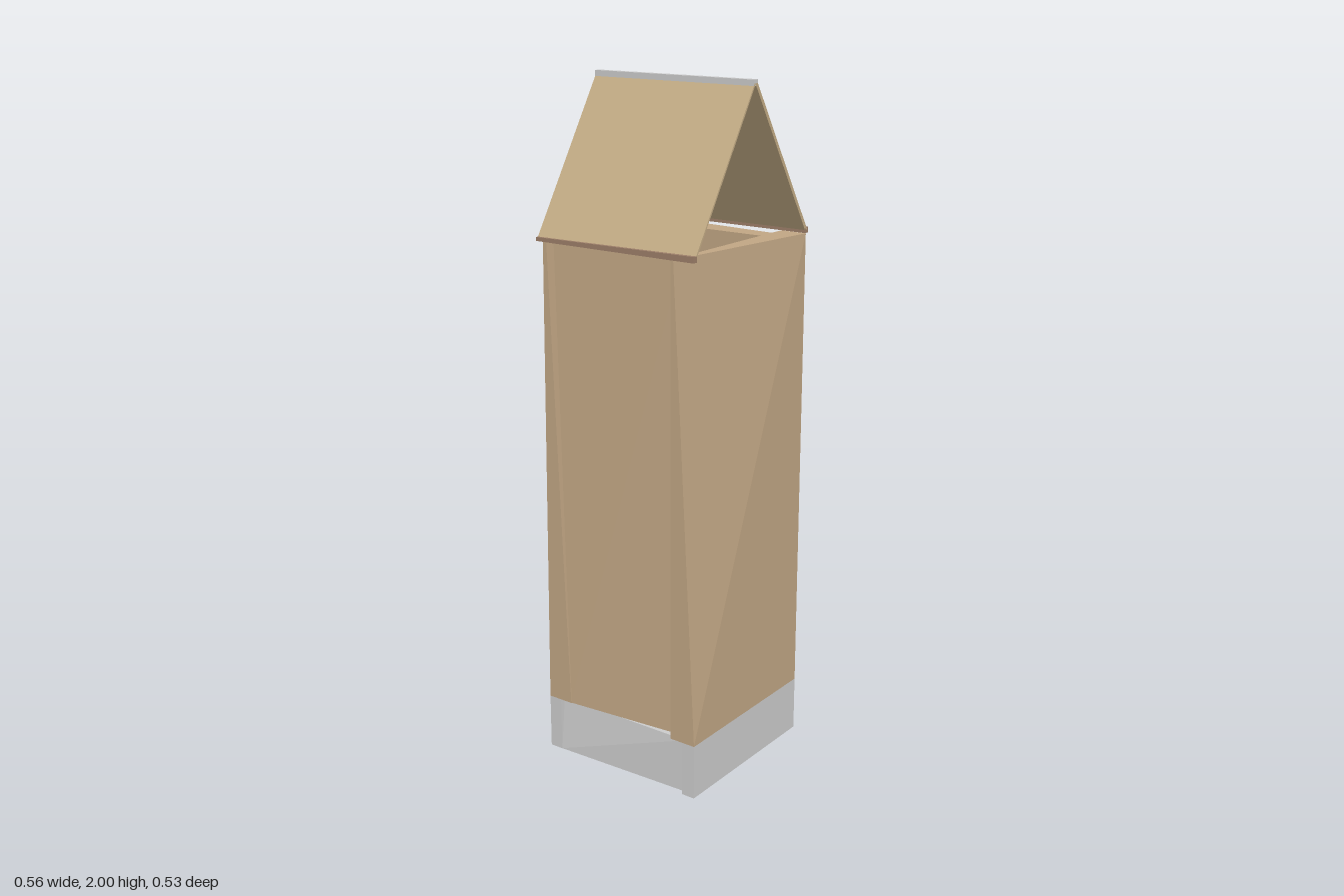
import * as THREE from 'three';

const material = (color) => new THREE.MeshStandardMaterial({ color, flatShading: true });

export function createModel() {
  const group = new THREE.Group();
  const grey = material(0xcccccc);
  const wood = material(0xc1a684);
  const roofWood = material(0xc4ad86);
  const trimWood = material(0x9d7f69);

  // A box between two corners; bend(v, s) may shift each corner, s holding its signs
  const slab = (name, mat, [x0, x1], [y0, y1], [z0, z1], bend) => {
    const geo = new THREE.BoxGeometry(x1 - x0, y1 - y0, z1 - z0);
    const pos = geo.attributes.position;
    const v = new THREE.Vector3();
    for (let i = 0; i < pos.count; i++) {
      v.fromBufferAttribute(pos, i);
      const s = { x: Math.sign(v.x), y: Math.sign(v.y), z: Math.sign(v.z) };
      v.add(new THREE.Vector3((x0 + x1) / 2, (y0 + y1) / 2, (z0 + z1) / 2));
      if (bend) bend(v, s);
      pos.setXYZ(i, v.x, v.y, v.z);
    }
    geo.computeVertexNormals();
    const mesh = new THREE.Mesh(geo, mat);
    mesh.name = name;
    group.add(mesh);
  };

  const W = 0.267, BASE = 0.165, TOP = 1.555;

  // Hollow base frame: full front and back, slightly recessed sides
  slab('baseFront', grey, [-W, W], [0, BASE], [W - 0.042, W]);
  slab('baseBack', grey, [-W, W], [0, BASE], [-W, -W + 0.042]);
  for (const side of [-1, 1]) {
    slab('baseSide', grey, side > 0 ? [0.2, 0.25] : [-0.25, -0.2], [0, BASE], [-0.225, 0.225],
      (v, s) => { if (s.x === side && s.z < 0 && s.y < 0) v.x = side * (W - 0.001); });
  }
  slab('floor', grey, [-0.17, 0.17], [BASE + 0.005, BASE + 0.02], [-0.19, 0.19]);

  // Front and back walls, each warped at its top right corner
  slab('frontWall', wood, [-W, W], [BASE, TOP], [0.185, W],
    (v, s) => { if (s.x < 0 && s.y > 0 && s.z > 0) v.z -= 0.073; });
  slab('backWall', wood, [-W, W], [BASE, TOP], [-W, -0.185],
    (v, s) => { if (s.x < 0 && s.y > 0) v.z += s.z > 0 ? -0.055 : 0.015; });

  // Recessed side walls, leaning outward toward the bottom back corner
  for (const side of [-1, 1]) {
    slab('sideWall', wood, side > 0 ? [0.16, 0.22] : [-0.22, -0.16], [BASE, TOP], [-0.186, 0.186],
      (v, s) => {
        if (s.z < 0 && s.y > 0 && side < 0) v.z = -0.235;
        if (s.x !== side) return;
        const recess = s.z > 0 ? (s.y > 0 ? 0.05 : 0.035) : (s.y > 0 ? 0.025 : 0.002);
        v.x = side * (W - recess);
      });
  }

  // Thin open gable roof with eave trims
  for (const side of [-1, 1]) {
    const t = side > 0 ? 0.012 : 0.006;
    slab('roofPanel', roofWood, [-t / 2, t / 2], [1.565, 1.99], [-W, W],
      (v, s) => { v.x += side * (s.y > 0 ? 0.003 : 0.268); });
    slab('eaveTrim', trimWood, side > 0 ? [0.263, 0.278] : [-0.278, -0.263], [1.556, 1.573], [-W, W],
      (v, s) => { if (s.z < 0 && s.y > 0) v.y -= 0.006; });
  }

  // Ridge cap
  slab('ridgeCap', grey, [-0.01, 0.01], [1.983, 2], [-W, W]);

  return group;
}
